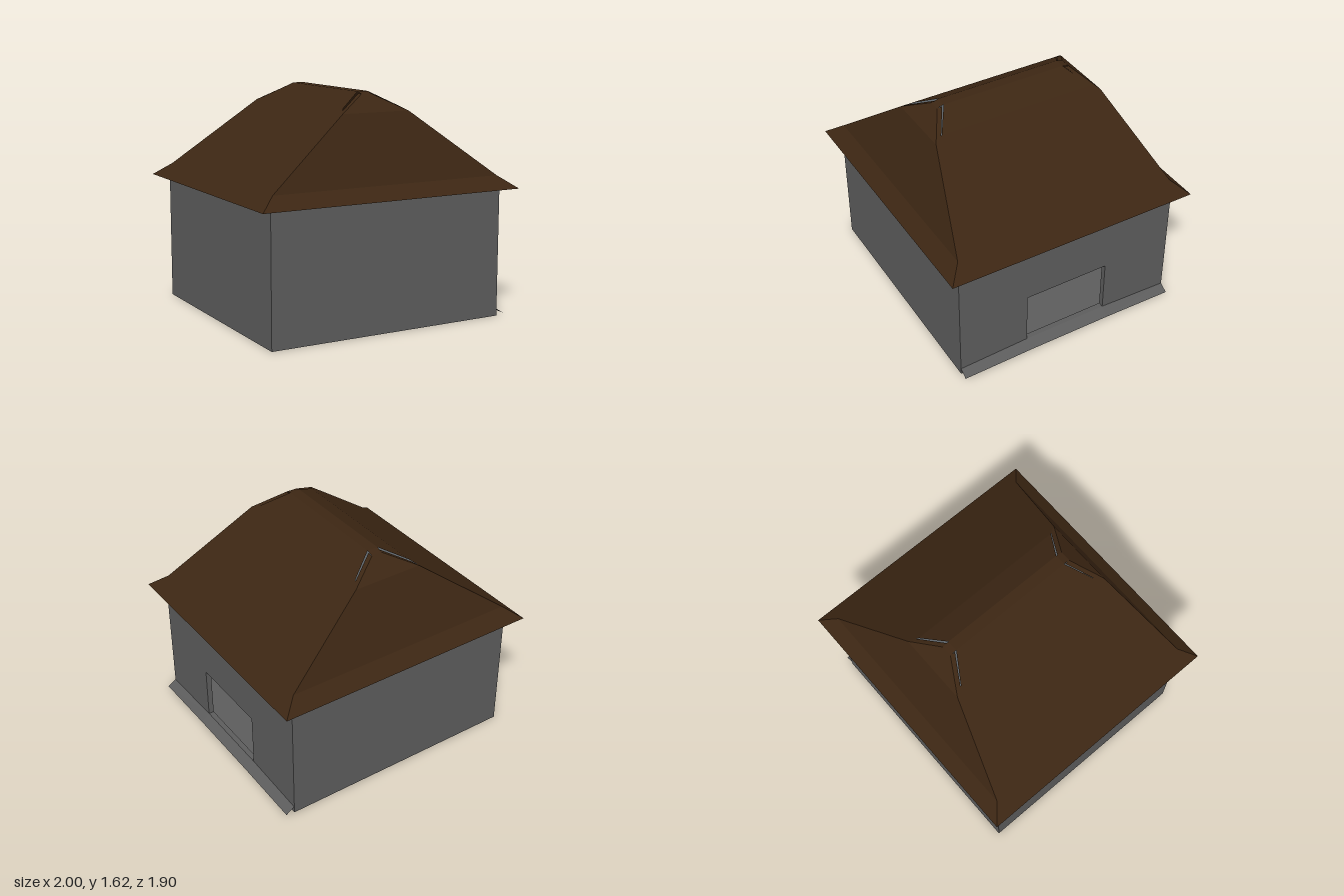
import * as THREE from 'three';

const mat = (color, side = THREE.DoubleSide) => new THREE.MeshStandardMaterial({ color, side, flatShading: true });
const WALL = mat(0x5c5c5c), ROOF = mat(0x3c2613), SOFFIT = mat(0x5a6065), WOOD = mat(0x4a2c18);
const YELLOW = mat(0xe8b25a), GLASS = mat(0xcccccc), TYRE = mat(0x555555);

function add(parent, name, geometry, material, x = 0, y = 0, z = 0) {
  const mesh = new THREE.Mesh(geometry, material);
  mesh.name = name;
  mesh.position.set(x, y, z);
  parent.add(mesh);
  return mesh;
}

// flat faces from lists of corner points, each split as a fan
function facets(faces) {
  const pos = [];
  for (const f of faces)
    for (let i = 1; i < f.length - 1; i++) pos.push(...f[0], ...f[i], ...f[i + 1]);
  const g = new THREE.BufferGeometry();
  g.setAttribute('position', new THREE.Float32BufferAttribute(pos, 3));
  g.computeVertexNormals();
  return g;
}

const box = (w, h, d) => new THREE.BoxGeometry(w, h, d);

function buildRoof() {
  // hip line from the eave corner up to the ridge end
  const hip = [[1, 0.93, 0.95], [0.88, 1.02, 0.845], [0.26, 1.49, 0.655], [0.04, 1.605, 0.525]];
  const kink = [0.22, 1.52, 0.59], ridge = [0.04, 1.62, 0.475];
  const stripIn = [0.232, 1.505, 0.602], stripEnd = [0.04, 1.61, 0.487];
  const at = (p, sx, sz) => [p[0] * sx, p[1], p[2] * sz];
  const faces = [];
  // a half-turn maps each slope onto its opposite and keeps the winding
  for (const s of [1, -1]) {
    const side = [hip[0], hip[1], hip[2], kink, ridge];
    for (let i = 0; i < 4; i++)
      faces.push([at(side[i], s, s), at(side[i], s, -s), at(side[i + 1], s, -s), at(side[i + 1], s, s)]);
    const end = [...hip, ridge];
    for (let i = 0; i < 4; i++)
      faces.push([at(end[i], -s, s), at(end[i], s, s), at(end[i + 1], s, s), at(end[i + 1], -s, s)]);
    // narrow strips beside the ridge end, leaving a slit below the main slope
    faces.push([at(hip[2], s, s), at(stripIn, s, s), at(stripEnd, s, s), at(hip[3], s, s)]);
    faces.push([at(hip[2], -s, s), at(hip[3], -s, s), at(stripEnd, -s, s), at(stripIn, -s, s)]);
  }
  faces.push([at(ridge, -1, 1), at(ridge, 1, 1), at(ridge, 1, -1), at(ridge, -1, -1)]);
  return facets(faces);
}

function buildVan() {
  const van = new THREE.Group();
  van.name = 'van';
  // side outline: first axis runs towards the rear, wheel arches cut from the lower edge
  const s = new THREE.Shape();
  s.moveTo(-0.215, 0.06);
  s.lineTo(-0.215, 0.155);
  s.lineTo(-0.19, 0.168);
  s.lineTo(-0.08, 0.195);
  s.lineTo(-0.02, 0.265);
  s.quadraticCurveTo(0, 0.285, 0.04, 0.292);
  s.lineTo(0.34, 0.3);
  s.lineTo(0.46, 0.295);
  s.lineTo(0.48, 0.2);
  s.lineTo(0.48, 0.06);
  s.lineTo(0.43, 0.06);
  s.absarc(0.37, 0.06, 0.06, 0, Math.PI, false);
  s.lineTo(0.06, 0.06);
  s.absarc(0, 0.06, 0.06, 0, Math.PI, false);
  s.closePath();
  const body = new THREE.ExtrudeGeometry(s, { depth: 0.24, bevelEnabled: false, curveSegments: 8 });
  body.translate(0, 0, -0.12);
  body.rotateY(-Math.PI / 2);
  add(van, 'vanBody', body, YELLOW);
  for (const sx of [1, -1]) {
    for (const z of [0.13, 0.255, 0.38]) add(van, 'vanWindow', box(0.006, 0.1, 0.11), GLASS, sx * 0.12, 0.25, z);
    for (const z of [0, 0.37]) {
      const wheel = new THREE.CylinderGeometry(0.045, 0.045, 0.04, 14).rotateZ(Math.PI / 2);
      add(van, 'vanWheel', wheel, TYRE, sx * 0.095, 0.065, z);
    }
  }
  const screen = add(van, 'windscreen', box(0.2, 0.07, 0.006), GLASS, 0, 0.232, -0.052);
  screen.rotation.x = 0.71;
  add(van, 'bumper', box(0.25, 0.03, 0.02), TYRE, 0, 0.085, -0.215);
  van.position.x = 0.15;
  return van;
}

export function createModel() {
  const house = new THREE.Group();
  house.name = 'house';

  // walls
  const T = 0.04, X = 0.9, Z = 0.855, H = 0.93;
  for (const s of [1, -1])
    add(house, s > 0 ? 'frontWall' : 'backWall', box(2 * X, H, T), WALL, 0, H / 2, s * (Z - T / 2));
  add(house, 'rightWall', box(T, H, 2 * (Z - T)), WALL, -X + T / 2, H / 2, 0);

  // wall with the garage opening
  const w = new THREE.Shape();
  w.moveTo(-Z + T, 0).lineTo(Z - T, 0).lineTo(Z - T, H).lineTo(-Z + T, H).closePath();
  const hole = new THREE.Path();
  hole.moveTo(-0.322, 0.07).lineTo(-0.322, 0.465).lineTo(0.322, 0.465).lineTo(0.322, 0.07).closePath();
  w.holes.push(hole);
  const doorWall = new THREE.ExtrudeGeometry(w, { depth: T, bevelEnabled: false });
  doorWall.rotateY(Math.PI / 2);
  add(house, 'garageWall', doorWall, WALL, X - T, 0, 0);

  add(house, 'floor', box(2 * (X - T), 0.02, 2 * (Z - T)), WALL, 0, 0.01, 0);

  // sloping apron along the garage wall, lower towards its ends
  const sect = [[-Z, 0.05, 0.01], [-0.322, 0.07, 0.02], [0.322, 0.07, 0.02], [Z, 0.05, 0.01]];
  const apron = [];
  for (let i = 0; i < 3; i++) {
    const [z0, a0, b0] = sect[i], [z1, a1, b1] = sect[i + 1];
    apron.push([[X, a0, z0], [X, a1, z1], [0.965, b1, z1], [0.965, b0, z0]]);
  }
  add(house, 'apron', facets(apron), WALL);

  // roof and the flat soffit that closes it
  add(house, 'roof', buildRoof(), ROOF);
  add(house, 'soffit', new THREE.PlaneGeometry(2, 1.9).rotateX(Math.PI / 2), SOFFIT, 0, H, 0);

  // garage contents
  add(house, 'post', box(0.02, H - 0.02, 0.02), WOOD, 0.45, (H + 0.02) / 2, -0.082);
  add(house, 'shortPost', box(0.02, 0.17, 0.02), WOOD, 0.45, 0.105, -0.327);
  house.add(buildVan());
  return house;
}
